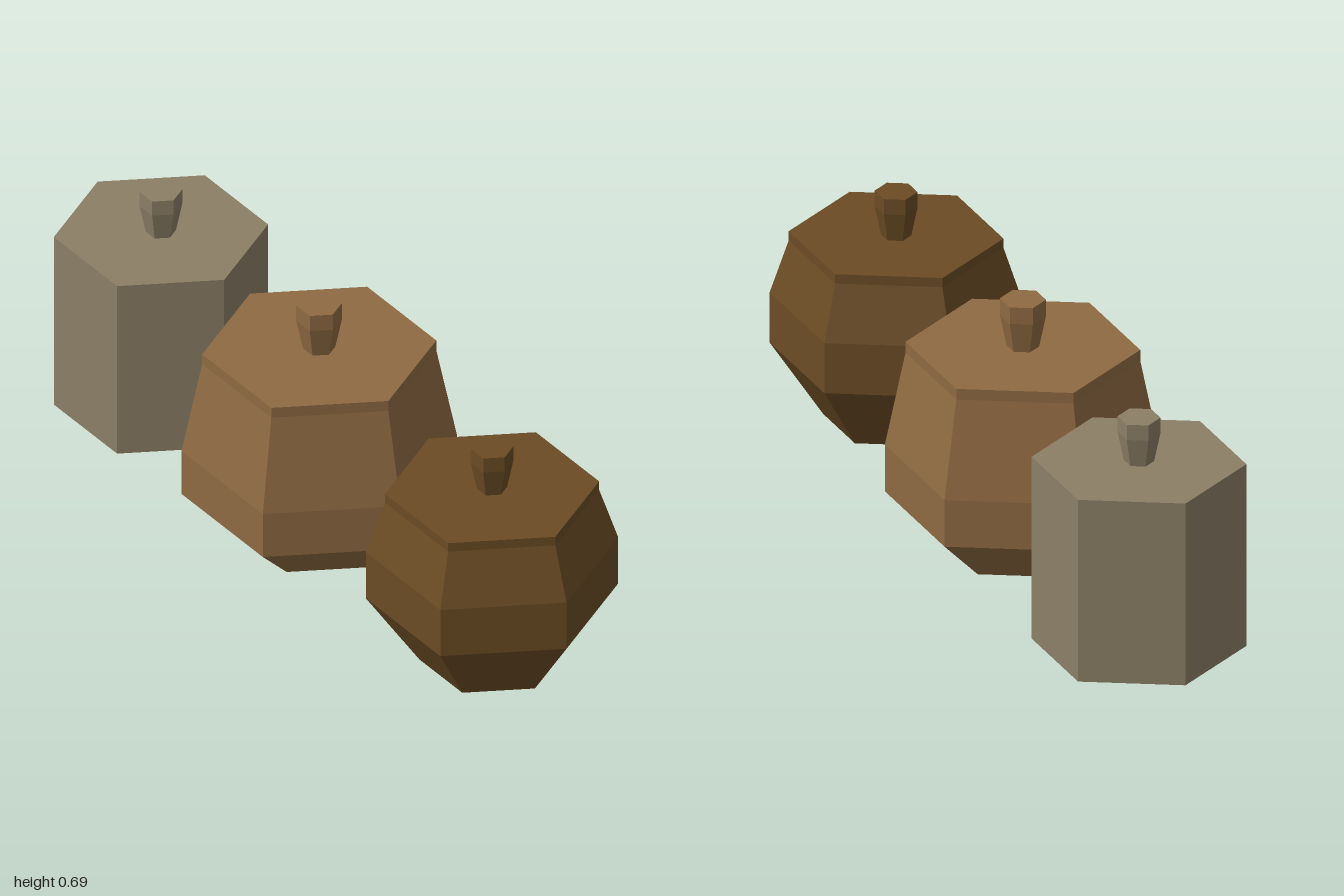
import * as THREE from 'three';

// Hexagonal solid turned from a [radius, height] profile, corners on the x axis
function hexSolid(name, profile, material) {
  const top = profile[profile.length - 1][1];
  const points = [[0, profile[0][1]], ...profile, [0, top]].map(([r, y]) => new THREE.Vector2(r, y));
  const mesh = new THREE.Mesh(new THREE.LatheGeometry(points, 6, Math.PI / 2), material);
  mesh.name = name;
  return mesh;
}

// A lidded jar: body plus a flared knob on top
function jar(name, x, color, body, knobScale) {
  const material = new THREE.MeshStandardMaterial({ color, flatShading: true, roughness: 0.9 });
  const group = new THREE.Group();
  group.name = name;
  const knob = hexSolid('lidKnob', [[0.041, 0], [0.058, 0.085], [0.058, 0.131]], material);
  knob.scale.setScalar(knobScale);
  knob.position.y = body[body.length - 1][1];
  group.add(hexSolid('jarBody', body, material), knob);
  group.position.x = x;
  return group;
}

export function createModel() {
  const model = new THREE.Group();
  model.name = 'threeJars';
  model.add(
    // Straight-sided jar
    jar('straightJar', -0.73, 0x8c7f66, [[0.27, 0.03], [0.27, 0.538]], 0.93),
    // Wide jar with a low belly
    jar('wideJar', -0.055, 0x8f6a42,
      [[0.2, 0], [0.347, 0.137], [0.347, 0.267], [0.295, 0.527], [0.295, 0.557]], 1),
    // Round jar with a high belly
    jar('roundJar', 0.682, 0x6b4c24,
      [[0.183, 0.03], [0.318, 0.225], [0.318, 0.365], [0.27, 0.512], [0.27, 0.538]], 0.93),
  );
  return model;
}
